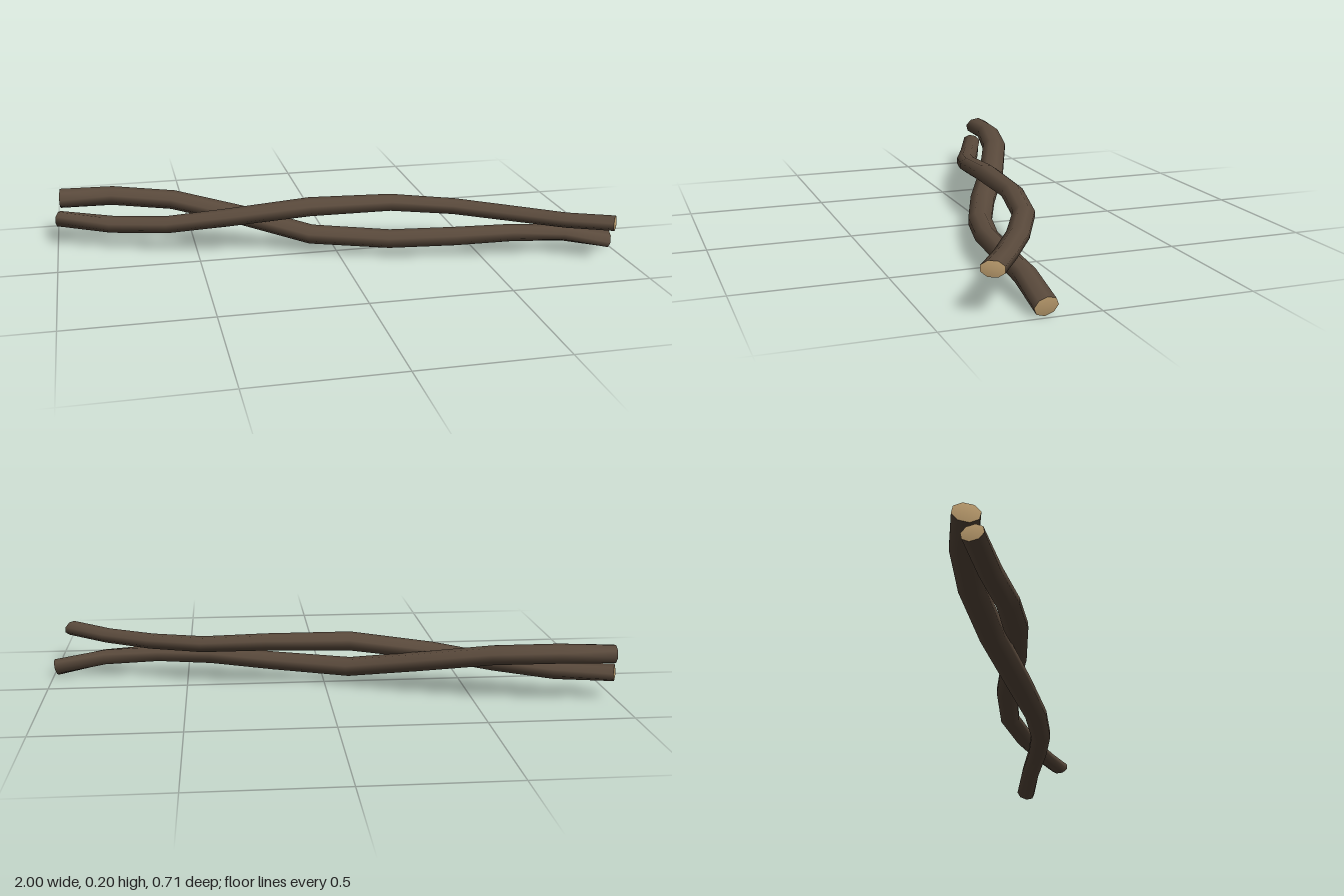
import * as THREE from 'three';

const SIDES = 8;

// Each station: x, y, z of the centreline, half width, half height, roll
const thickBranch = [
  [-0.98, 0.173, -0.315, 0.044, 0.032, 0.2],
  [-0.79, 0.175, -0.302, 0.046, 0.032, 0],
  [-0.57, 0.16, -0.25, 0.047, 0.032, 0],
  [-0.33, 0.115, -0.15, 0.047, 0.032, 0],
  [-0.09, 0.065, -0.025, 0.046, 0.032, 0],
  [0.18, 0.064, 0.082, 0.042, 0.031, 0],
  [0.41, 0.077, 0.141, 0.039, 0.031, 0],
  [0.61, 0.082, 0.162, 0.038, 0.029, 0],
  [0.81, 0.07, 0.166, 0.037, 0.028, 0.2],
  [0.99, 0.033, 0.173, 0.037, 0.029, 0.4],
];
const thinBranch = [
  [-0.99, 0.1, -0.297, 0.036, 0.028, -0.2],
  [-0.8, 0.09, -0.22, 0.038, 0.029, 0],
  [-0.6, 0.102, -0.138, 0.04, 0.029, 0],
  [-0.385, 0.133, -0.08, 0.043, 0.03, 0],
  [-0.09, 0.166, -0.04, 0.045, 0.032, 0],
  [0.21, 0.166, -0.026, 0.039, 0.029, 0],
  [0.44, 0.15, 0.022, 0.038, 0.027, 0],
  [0.63, 0.14, 0.118, 0.038, 0.026, 0],
  [0.8, 0.137, 0.225, 0.037, 0.025, 0],
  [0.945, 0.146, 0.318, 0.038, 0.025, 0],
];

function geometryFrom(points, index) {
  const g = new THREE.BufferGeometry().setFromPoints(points);
  g.setIndex(index);
  g.computeVertexNormals();
  return g;
}

// Oval rings set square to the centreline
function makeRings(stations) {
  const centres = stations.map(s => new THREE.Vector3(s[0], s[1], s[2]));
  return stations.map(([, , , w, h, roll], i) => {
    const before = centres[Math.max(i - 1, 0)];
    const after = centres[Math.min(i + 1, centres.length - 1)];
    const along = after.clone().sub(before).normalize();
    const side = along.clone().cross(new THREE.Vector3(0, 1, 0)).normalize();
    const up = side.clone().cross(along);
    side.applyAxisAngle(along, roll);
    up.applyAxisAngle(along, roll);
    const points = [];
    for (let j = 0; j < SIDES; j++) {
      const a = (j + 0.5) / SIDES * Math.PI * 2;
      points.push(centres[i].clone()
        .addScaledVector(side, 1.04 * w * Math.cos(a))
        .addScaledVector(up, 1.04 * h * Math.sin(a)));
    }
    return { centre: centres[i], along, points };
  });
}

function barkGeometry(rings) {
  const index = [];
  for (let i = 0; i < rings.length - 1; i++) {
    for (let j = 0; j < SIDES; j++) {
      const k = (j + 1) % SIDES;
      const a = i * SIDES + j, b = a + SIDES, c = i * SIDES + k, d = c + SIDES;
      index.push(a, b, c, b, d, c);
    }
  }
  return geometryFrom(rings.flatMap(r => r.points), index);
}

// Slightly domed cut face closing an end
function cutGeometry(ring, direction) {
  const tip = ring.centre.clone().addScaledVector(ring.along, 0.005 * direction);
  const index = [];
  for (let j = 0; j < SIDES; j++) {
    const k = (j + 1) % SIDES;
    index.push(SIDES, ...(direction < 0 ? [j, k] : [k, j]));
  }
  return geometryFrom([...ring.points, tip], index);
}

export function createModel() {
  const bark = new THREE.MeshStandardMaterial({ color: 0x5a4a3c });
  bark.name = 'bark brown';
  const wood = new THREE.MeshStandardMaterial({ color: 0xc2a272 });
  wood.name = 'cut wood tan';

  const model = new THREE.Group();
  model.name = 'crossedBranches';
  for (const [name, stations] of [['thickBranch', thickBranch], ['thinBranch', thinBranch]]) {
    const rings = makeRings(stations);
    const branch = new THREE.Group();
    branch.name = name;
    const add = (part, geometry, material) => {
      const mesh = new THREE.Mesh(geometry, material);
      mesh.name = part;
      branch.add(mesh);
    };
    add('bark', barkGeometry(rings), bark);
    add('rightCut', cutGeometry(rings[0], -1), wood);
    add('leftCut', cutGeometry(rings[rings.length - 1], 1), wood);
    model.add(branch);
  }
  return model;
}
